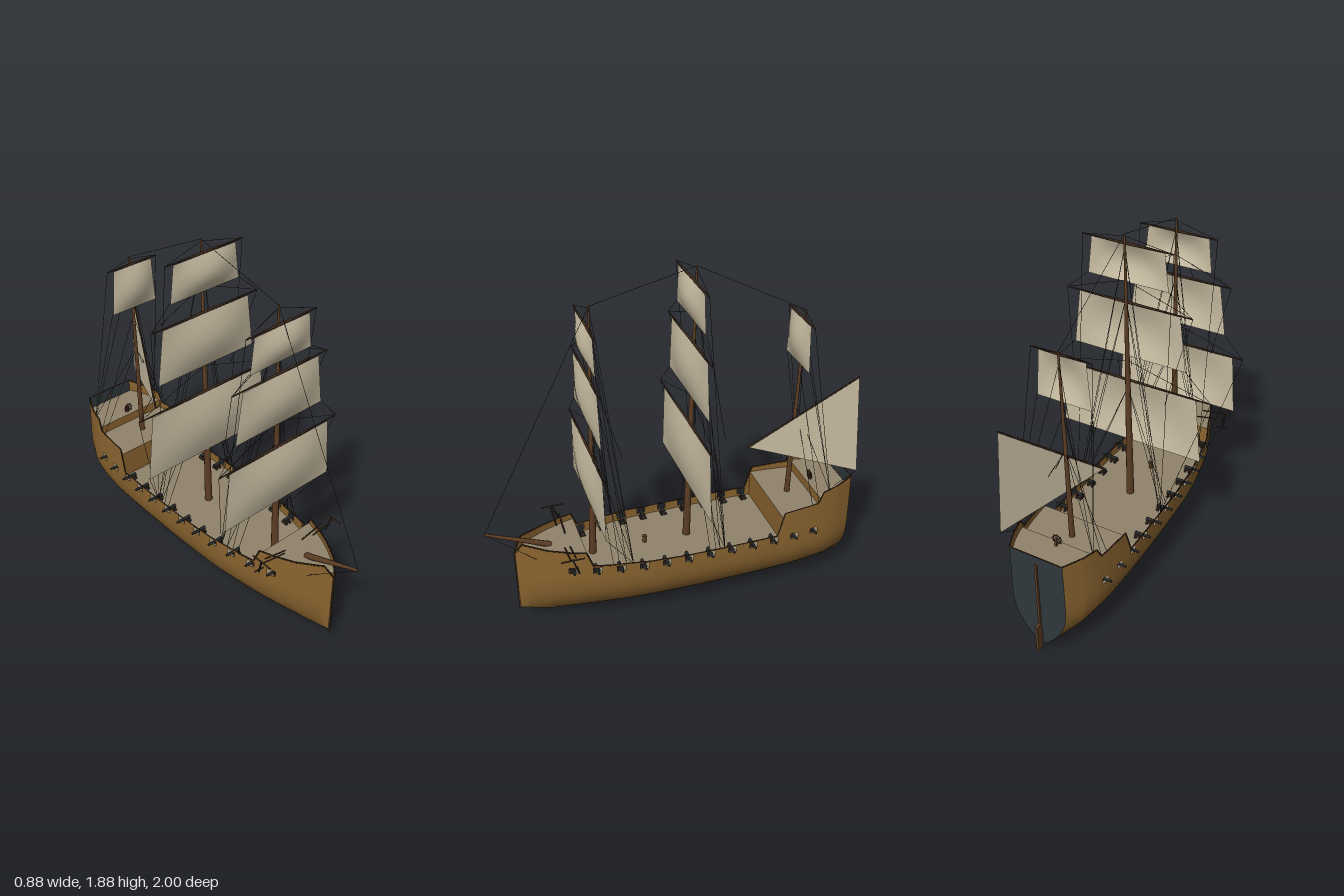
import * as THREE from 'three';
import { mergeGeometries } from 'three/addons/utils/BufferGeometryUtils.js';

const V = (x, y, z) => new THREE.Vector3(x, y, z);
const mat = (name, color, side = THREE.FrontSide) => {
  const m = new THREE.MeshStandardMaterial({ color, side });
  m.name = name;
  return m;
};

// Hull lines along z: half width (smooth), keel height and rail height (straight)
const WZ = [-0.96, -0.85, -0.7, -0.5, -0.25, 0, 0.2, 0.4, 0.5, 0.6, 0.7, 0.8, 0.86];
const WV = [0.148, 0.198, 0.228, 0.242, 0.246, 0.244, 0.235, 0.207, 0.186, 0.156, 0.112, 0.05, 0.002];
const spline = new THREE.CubicInterpolant(WZ, WV, 1, new Float32Array(1));
const width = z => spline.evaluate(z)[0];
const linear = pts => z => {
  for (let i = 1; i < pts.length; i++) {
    const [a, p] = pts[i - 1], [b, q] = pts[i];
    if (z <= b) return p + (q - p) * Math.max(0, (z - a) / (b - a));
  }
  return pts[pts.length - 1][1];
};
const RAIL = [[-0.96, 0.635], [-0.77, 0.615], [-0.74, 0.555], [-0.54, 0.545], [-0.5, 0.412], [0, 0.409],
  [0.49, 0.418], [0.52, 0.5], [0.7, 0.508], [0.82, 0.522], [0.86, 0.45]];
const keel = linear([[-0.96, 0.05], [-0.85, 0.03], [-0.6, 0.013], [-0.1, 0.003], [0.3, 0.008], [0.55, 0.022], [0.7, 0.04], [0.86, 0.09]]);
const rail = linear(RAIL);
const halfWidth = (z, y) => {
  const k = keel(z), s = THREE.MathUtils.clamp((y - k) / (0.36 - k), 0, 1);
  return width(z) * (1 - Math.pow(1 - s, 2.5)) * (1 - 0.15 * Math.max(0, y - 0.4));
};
const PORT_LOW = 0.372, PORT_HIGH = 0.405, PORT_HALF = 0.022;
const ports = Array.from({ length: 12 }, (_, i) => 0.59 - 0.119 * i);

// Heights of one hull station from keel to rail
function rows(z) {
  const k = keel(z), list = [];
  for (let i = 0; i <= 12; i++) list.push(k + (PORT_LOW - k) * Math.pow(i / 12, 1.5));
  return [...list, PORT_HIGH, rail(z)];
}

// One side of the planking, leaving the gun ports open
function hullSide(side) {
  const zs = [...WZ, ...RAIL.map(p => p[0]), ...ports.flatMap(z => [z - PORT_HALF, z + PORT_HALF])];
  for (let z = -0.93; z < 0.86; z += 0.06) {
    if (!ports.some(p => Math.abs(p - z) < 0.03)) zs.push(z);
  }
  zs.sort((a, b) => a - b);
  const st = zs.filter((z, i) => i === 0 || z - zs[i - 1] > 1e-4);
  const pos = [], idx = [], n = 15;
  st.forEach(z => rows(z).forEach(y => pos.push(side * halfWidth(z, y), y, z)));
  for (let i = 0; i < st.length - 1; i++) {
    const mid = (st[i] + st[i + 1]) / 2;
    const open = ports.some(p => Math.abs(p - mid) < PORT_HALF);
    for (let j = 0; j < n - 1; j++) {
      if (open && j === 12) continue;
      const a = i * n + j, b = a + 1, c = a + n, d = c + 1;
      if (side > 0) idx.push(a, b, c, b, d, c);
      else idx.push(a, c, b, b, c, d);
    }
  }
  const g = new THREE.BufferGeometry();
  g.setAttribute('position', new THREE.Float32BufferAttribute(pos, 3));
  g.setIndex(idx);
  g.computeVertexNormals();
  return g;
}

// Tapered round bar from a to b
function rodGeo(a, b, r0, r1 = r0, sides = 4) {
  const d = b.clone().sub(a), len = d.length();
  const g = new THREE.CylinderGeometry(r1, r0, len, sides);
  g.applyQuaternion(new THREE.Quaternion().setFromUnitVectors(V(0, 1, 0), d.normalize()));
  const c = a.clone().add(b).multiplyScalar(0.5);
  return g.translate(c.x, c.y, c.z);
}

// Flat outline mirrored across x = 0 from [halfWidth, v] pairs
function mirrored(pairs) {
  const pts = [...pairs.map(([x, v]) => new THREE.Vector2(x, v)),
    ...pairs.slice().reverse().map(([x, v]) => new THREE.Vector2(-x, v))];
  return new THREE.ShapeGeometry(new THREE.Shape(pts));
}

export function createModel() {
  const ship = new THREE.Group();
  ship.name = 'sailingShip';
  const D = THREE.DoubleSide;
  const planks = mat('hull planking', 0x8a642f, D), deckM = mat('deck boards', 0x91836b, D);
  const slate = mat('stern slate', 0x2f383b, D), canvas = mat('sail canvas', 0xc6baa0, D);
  const wood = mat('mast wood', 0x5c3d24), spar = mat('dark spar wood', 0x3f2a1c);
  const iron = mat('iron', 0x25282a), rope = mat('rope', 0x2b2722);
  const add = (name, geo, m, parent = ship) => {
    const mesh = new THREE.Mesh(geo, m);
    mesh.name = name;
    parent.add(mesh);
    return mesh;
  };

  // Hull, stern panel and rails
  for (const s of [1, -1]) {
    add(s > 0 ? 'hullLeft' : 'hullRight', hullSide(s), planks);
    const rails = [];
    const zs = [...RAIL.map(p => p[0]), ...WZ].sort((a, b) => a - b);
    for (let i = 1; i < zs.length; i++) {
      if (zs[i] - zs[i - 1] < 1e-4) continue;
      const [a, b] = [zs[i - 1], zs[i]].map(z => V(s * halfWidth(z, rail(z)), rail(z), z));
      rails.push(rodGeo(a, b, 0.004));
    }
    add('gunwale', mergeGeometries(rails), spar);
  }
  const stern = -0.96;
  add('sternPanel', mirrored(rows(stern).map(y => [halfWidth(stern, y), y])).translate(0, 0, stern), slate);
  add('sternRail', rodGeo(V(-0.145, 0.635, stern), V(0.145, 0.635, stern), 0.004), spar);
  add('stem', new THREE.BoxGeometry(0.01, 0.37, 0.01).translate(0, 0.27, 0.858), spar);
  add('rudder', new THREE.BoxGeometry(0.014, 0.155, 0.04).translate(0, 0.127, -0.98), wood);
  add('rudderStock', new THREE.BoxGeometry(0.012, 0.54, 0.012).translate(0, 0.32, -0.965), wood);

  // Decks and the bulkheads at their breaks
  const deck = (name, y, z0, z1) => {
    const pairs = [];
    for (let i = 0; i <= 24; i++) {
      const z = z0 + (z1 - z0) * i / 24;
      pairs.push([halfWidth(z, y) * 0.99, z]);
    }
    add(name, mirrored(pairs).rotateX(Math.PI / 2).translate(0, y, 0), deckM);
  };
  deck('mainDeck', 0.36, -0.955, 0.85);
  deck('foreDeck', 0.465, 0.51, 0.84);
  deck('quarterDeck', 0.515, -0.76, -0.53);
  deck('poopDeck', 0.565, -0.955, -0.76);
  for (const [z, y0, y1] of [[0.51, 0.36, 0.465], [-0.53, 0.36, 0.515], [-0.76, 0.515, 0.565]]) {
    add('bulkhead', new THREE.PlaneGeometry(halfWidth(z, y0) * 1.97, y1 - y0).translate(0, (y0 + y1) / 2, z), planks);
  }

  // Cannons at every port
  for (const s of [1, -1]) for (const z of ports) {
    const w = width(z), cannon = new THREE.Group();
    cannon.name = 'cannon';
    ship.add(cannon);
    add('barrel', rodGeo(V(s * (w - 0.055), 0.387, z), V(s * (w + 0.032), 0.389, z), 0.009, 0.006, 8), iron, cannon);
    add('carriage', new THREE.BoxGeometry(0.036, 0.014, 0.02).translate(s * (w - 0.035), 0.375, z), spar, cannon);
    for (const dx of [-0.047, -0.023]) {
      add('axle', rodGeo(V(s * (w + dx), 0.367, z - 0.017), V(s * (w + dx), 0.367, z + 0.017), 0.007, 0.007, 8), iron, cannon);
    }
  }

  // Masts: foot, head, rigging and [yardY, yardHalf, sailTopHalf, footY, sailFootHalf]
  const masts = [
    { name: 'fore', foot: V(0, 0.36, 0.45), head: V(0, 1.755, 0.408), r: 0.02, shrouds: [0.39, 0.36, 0.325, 0.29],
      sails: [[1.02, 0.385, 0.325, 0.685, 0.35], [1.425, 0.3, 0.24, 1.15, 0.278], [1.675, 0.215, 0.17, 1.49, 0.19]] },
    { name: 'main', foot: V(0, 0.36, -0.07), head: V(0, 1.885, -0.112), r: 0.021, shrouds: [-0.12, -0.15, -0.175, -0.2],
      sails: [[1.078, 0.44, 0.36, 0.713, 0.395], [1.522, 0.335, 0.27, 1.228, 0.305], [1.828, 0.235, 0.19, 1.635, 0.212]] },
    { name: 'mizzen', foot: V(0, 0.515, -0.652), head: V(0, 1.585, -0.687), r: 0.015, shrouds: [-0.7, -0.74, -0.8],
      sails: [[1.555, 0.155, 0.12, 1.31, 0.14]] },
  ];
  const ropes = [];
  const line = (a, b) => ropes.push(rodGeo(a, b, 0.0014, 0.0014, 3));
  for (const m of masts) {
    const at = y => m.foot.clone().lerp(m.head, (y - m.foot.y) / (m.head.y - m.foot.y));
    add(m.name + 'Mast', rodGeo(m.foot, m.head, m.r, 0.005, 10), wood);
    m.sails.forEach(([y, half, top, footY, foot], i) => {
      const z = at(y).z + 0.022;
      for (const s of [1, -1]) {
        add(m.name + 'Yard', rodGeo(V(0, y, z), V(s * half, y, z), 0.007, 0.003, 6), spar);
      }
      // Sail bellied forward between yard and foot
      const g = new THREE.PlaneGeometry(2, 1, 12, 10), p = g.attributes.position;
      for (let k = 0; k < p.count; k++) {
        const u = p.getX(k), v = 0.5 - p.getY(k);
        p.setXYZ(k, u * (top + (foot - top) * v), y - 0.005 + (footY - y) * v,
          z + 0.004 + 0.032 * Math.sin(Math.PI * v) * Math.cos(u * Math.PI / 2));
      }
      g.computeVertexNormals();
      add(m.name + 'Sail', g, canvas);
      // Lifts, sheets and braces
      const below = m.sails[i - 1], hz = m.shrouds[m.shrouds.length - 1];
      for (const s of [1, -1]) {
        const clew = V(s * foot, footY, z), end = V(s * half, y, z);
        const hull = V(s * width(hz), rail(hz), hz);
        line(end, at(Math.min(y + 0.13, m.head.y - 0.01)));
        line(clew, below ? V(s * below[1], below[0], at(below[0]).z + 0.022) : hull);
        line(end, i === 1 ? V(s * 0.25, 1.08, z - 0.1) : hull);
      }
    });
    // Shrouds from the rail to the mast
    for (const s of [1, -1]) m.shrouds.forEach((z, i) => {
      const base = V(s * width(z) * 0.98, rail(z), z);
      line(base, at(i % 2 ? m.head.y - 0.33 : Math.min(1.05, m.head.y - 0.35)));
      if (i > 1) line(base, at(m.head.y - 0.06));
    });
  }

  // Bowsprit and stays
  const tip = V(0, 0.6, 0.997);
  add('bowsprit', rodGeo(V(0, 0.463, 0.67), tip, 0.017, 0.007, 8), wood);
  const heads = [tip, ...masts.map(m => m.head)];
  for (let i = 1; i < heads.length; i++) line(heads[i - 1], heads[i]);
  for (const s of [1, -1]) line(tip, V(s * 0.085, 0.45, 0.76));

  // Slanted three-cornered sail with its long yard
  const tack = V(-0.06, 0.8, -0.435), peak = V(0.172, 1.26, -0.925), clew = V(0.187, 0.7, -0.96);
  const tri = new THREE.BufferGeometry().setFromPoints([tack, clew, peak]);
  tri.computeVertexNormals();
  add('lateenSail', tri, canvas);
  add('lateenYard', rodGeo(tack, peak, 0.005, 0.004, 6), spar);
  line(clew, V(0.18, 0.625, -0.84));
  add('rigging', mergeGeometries(ropes), rope);

  // Steering wheel and capstan
  const wheel = [new THREE.TorusGeometry(0.022, 0.003, 6, 20).translate(0, 0.597, -0.78)];
  for (let i = 0; i < 4; i++) {
    const a = i * Math.PI / 4, x = 0.031 * Math.cos(a), y = 0.031 * Math.sin(a);
    wheel.push(rodGeo(V(-x, 0.597 - y, -0.78), V(x, 0.597 + y, -0.78), 0.0018));
  }
  add('steeringWheel', mergeGeometries(wheel), spar);
  add('wheelPost', new THREE.BoxGeometry(0.012, 0.035, 0.012).translate(0, 0.582, -0.79), wood);
  add('capstan', new THREE.CylinderGeometry(0.013, 0.011, 0.04, 10).translate(0, 0.38, 0.165), wood);

  // Catheads with hanging anchors
  for (const s of [1, -1]) {
    add('cathead', rodGeo(V(s * 0.1, 0.5, 0.615), V(s * 0.245, 0.525, 0.615), 0.005), spar);
    add('catheadBrace', rodGeo(V(s * 0.06, 0.47, 0.58), V(s * 0.2, 0.5, 0.58), 0.004), spar);
    add('anchorStock', rodGeo(V(s * 0.245, 0.525, 0.545), V(s * 0.245, 0.525, 0.665), 0.005), spar);
    add('anchorShank', rodGeo(V(s * 0.245, 0.53, 0.605), V(s * 0.235, 0.435, 0.578), 0.005), iron);
    add('anchorArms', rodGeo(V(s * 0.265, 0.455, 0.58), V(s * 0.205, 0.445, 0.578), 0.005), iron);
  }
  return ship;
}
